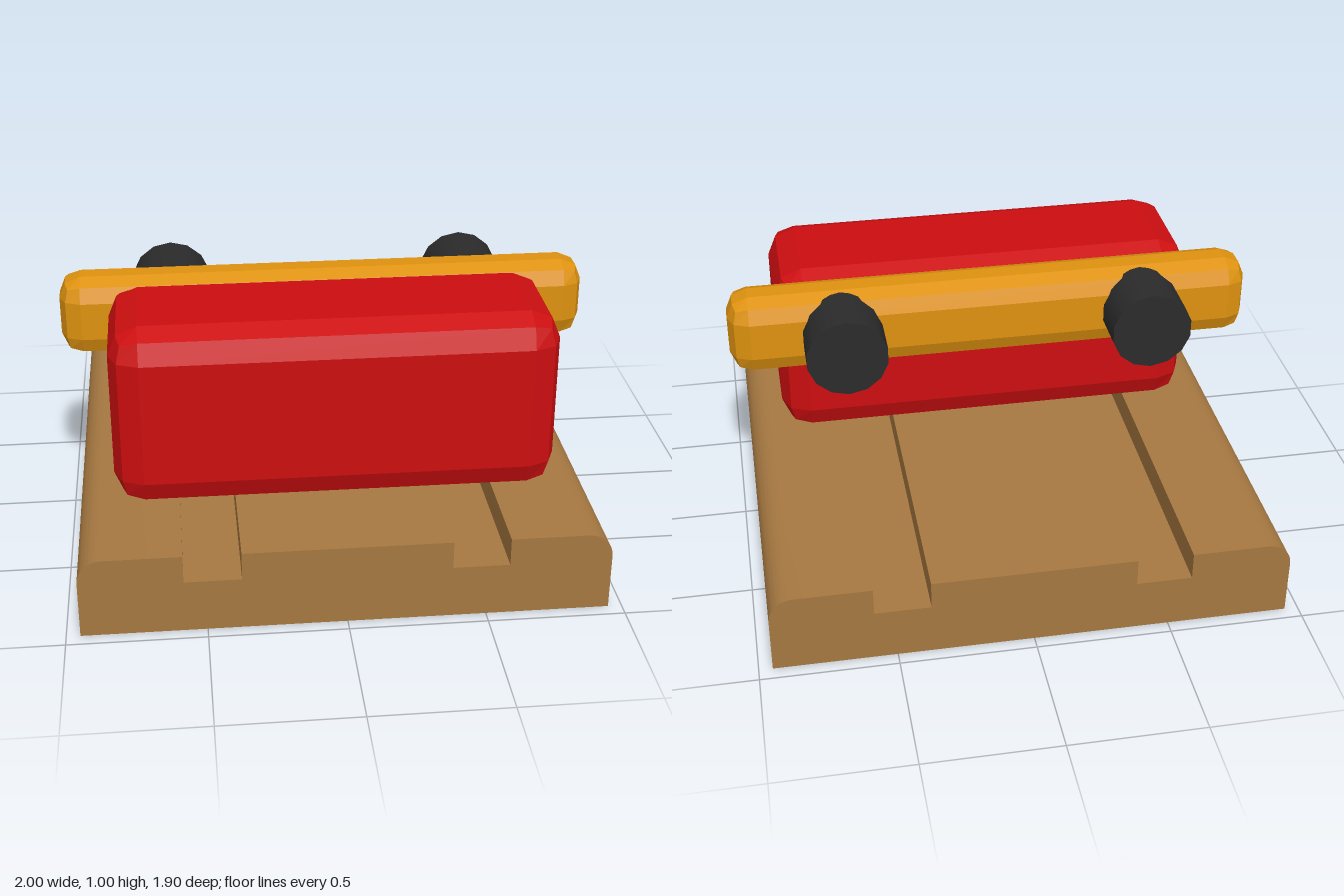
import * as THREE from 'three';
import { RoundedBoxGeometry } from 'three/addons/geometries/RoundedBoxGeometry.js';
import { toCreasedNormals } from 'three/addons/utils/BufferGeometryUtils.js';

const material = (name, color) => {
  const m = new THREE.MeshStandardMaterial({ color });
  m.name = name;
  return m;
};

// Box with faceted bevels, given by its min and max corners
function bevelledBox(min, max, radius) {
  const [w, h, d] = max.map((v, i) => v - min[i]);
  const geometry = new RoundedBoxGeometry(w, h, d, 1, radius);
  geometry.computeVertexNormals(); // unindexed, so this gives flat facets
  geometry.translate(...max.map((v, i) => (v + min[i]) / 2));
  return geometry;
}

// Slab profile with rounded top corners and two grooves, extruded along z
function slabGeometry() {
  const w = 0.95, h = 0.305, r = 0.09, floor = 0.2, inner = 0.375, outer = 0.58;
  const s = new THREE.Shape();
  s.moveTo(-w, 0);
  s.lineTo(w, 0);
  s.lineTo(w, h - r);
  s.absarc(w - r, h - r, r, 0, Math.PI / 2, false);
  for (const [a, b] of [[outer, inner], [-inner, -outer]]) {
    s.lineTo(a, h);
    s.lineTo(a, floor);
    s.lineTo(b, floor);
    s.lineTo(b, h);
  }
  s.lineTo(-w + r, h);
  s.absarc(-w + r, h - r, r, Math.PI / 2, Math.PI, false);
  s.closePath();
  const g = new THREE.ExtrudeGeometry(s, { depth: 1.9, bevelEnabled: false, curveSegments: 8 });
  g.translate(0, 0, -0.95);
  return toCreasedNormals(g, 0.5);
}

export function createModel() {
  const group = new THREE.Group();
  group.name = 'model';
  const wood = material('wood', 0xa67841);
  const red = material('red', 0xcc0e10);
  const amber = material('amber', 0xde920f);
  const black = material('black', 0x2b2b2b);

  const add = (name, geometry, mat) => {
    const mesh = new THREE.Mesh(geometry, mat);
    mesh.name = name;
    group.add(mesh);
    return mesh;
  };

  add('groovedBase', slabGeometry(), wood);
  add('block', bevelledBox([-0.815, 0.305, 0.06], [0.815, 0.995, 0.63], 0.11), red);
  add('crossBar', bevelledBox([-1, 0.69, -0.1], [1, 0.995, 0.13], 0.08), amber);

  // Pegs on the back of the bar
  for (const [name, side] of [['leftPeg', 1], ['rightPeg', -1]]) {
    const peg = new THREE.CylinderGeometry(0.153, 0.153, 0.23, 14);
    peg.rotateX(Math.PI / 2);
    add(name, peg, black).position.set(side * 0.575, 0.842, -0.155);
  }
  return group;
}
